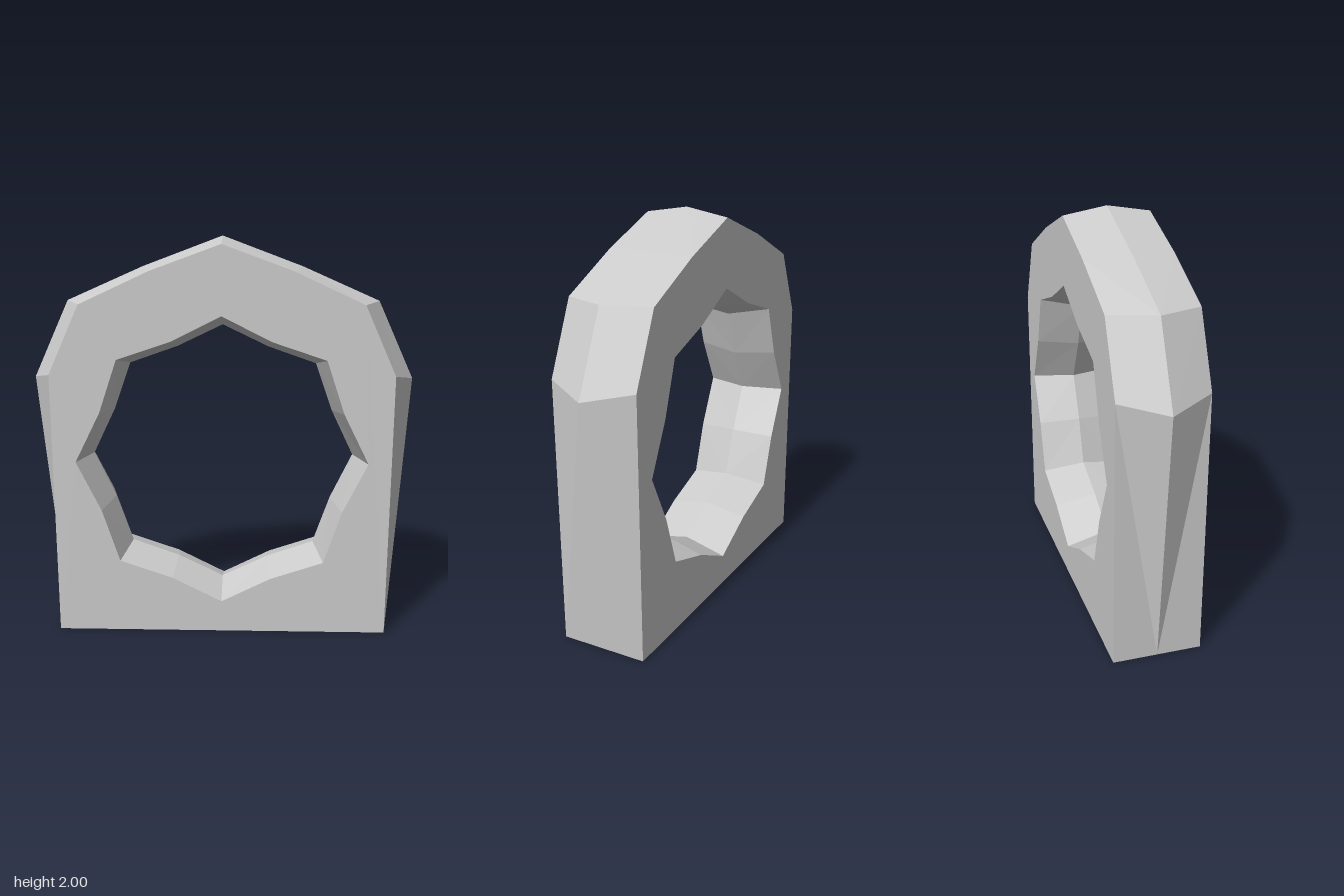
import * as THREE from 'three';

const HALF_DEPTH = 0.22;
const HOLE_Y = 0.89;

// Mirror a right-hand outline (bottom corner up to the apex) into a closed counter-clockwise loop
function mirrorOutline(right) {
  const left = right.slice(0, -1).reverse().map(([x, y]) => [-x, y]);
  return [...right, ...left];
}

// Sixteen-sided opening whose points alternate between two radii
function holeOutline(outer, inner) {
  return Array.from({ length: 16 }, (_, i) => {
    const r = i % 2 ? inner : outer;
    const a = (i * Math.PI) / 8;
    return [r * Math.cos(a), HOLE_Y + r * Math.sin(a)];
  });
}

// Join matching loops from front to back; inward turns the faces to the centre
function loft(loops, depths, inward) {
  const pos = [];
  const n = loops[0].length;
  for (let k = 0; k < loops.length - 1; k++) {
    for (let i = 0; i < n; i++) {
      const j = (i + 1) % n;
      const a = [...loops[k][i], depths[k]];
      const b = [...loops[k + 1][i], depths[k + 1]];
      const c = [...loops[k + 1][j], depths[k + 1]];
      const d = [...loops[k][j], depths[k]];
      // keep the diagonal symmetric between front and back halves
      const tris = k === 0 ? [[a, b, c], [a, c, d]] : [[a, b, d], [b, c, d]];
      for (const [p, q, r] of tris) pos.push(...p, ...(inward ? r : q), ...(inward ? q : r));
    }
  }
  const geo = new THREE.BufferGeometry();
  geo.setAttribute('position', new THREE.Float32BufferAttribute(pos, 3));
  geo.computeVertexNormals();
  return geo;
}

export function createModel() {
  const group = new THREE.Group();
  group.name = 'archBlock';
  const material = new THREE.MeshStandardMaterial({ color: 0xcccccc, flatShading: true });

  const add = (name, geometry) => {
    const mesh = new THREE.Mesh(geometry, material);
    mesh.name = name;
    group.add(mesh);
    return mesh;
  };

  const faceOuter = mirrorOutline([[0.835, 0], [0.85, 1.33], [0.695, 1.675], [0.35, 1.835], [0, 1.963]]);
  const ridgeOuter = mirrorOutline([[0.835, 0], [0.963, 1.29], [0.785, 1.68], [0.4, 1.85], [0, 2]]);
  const faceHole = holeOutline(0.73, 0.655);
  const ridgeHole = holeOutline(0.67, 0.605);
  const depths = [HALF_DEPTH, 0, -HALF_DEPTH];

  // Outer rim bulges to a ridge halfway through; the opening narrows there
  add('outerRim', loft([faceOuter, ridgeOuter, faceOuter], depths, false));
  add('openingWall', loft([faceHole, ridgeHole, faceHole], depths, true));

  // Flat front and back faces pierced by the opening
  const toPoints = (loop) => loop.map(([x, y]) => new THREE.Vector2(x, y));
  const shape = new THREE.Shape(toPoints(faceOuter));
  shape.holes.push(new THREE.Path(toPoints(faceHole)));
  const face = new THREE.ShapeGeometry(shape);
  add('frontFace', face).position.z = HALF_DEPTH;
  const back = add('backFace', face);
  back.position.z = -HALF_DEPTH;
  back.rotation.y = Math.PI;

  return group;
}
